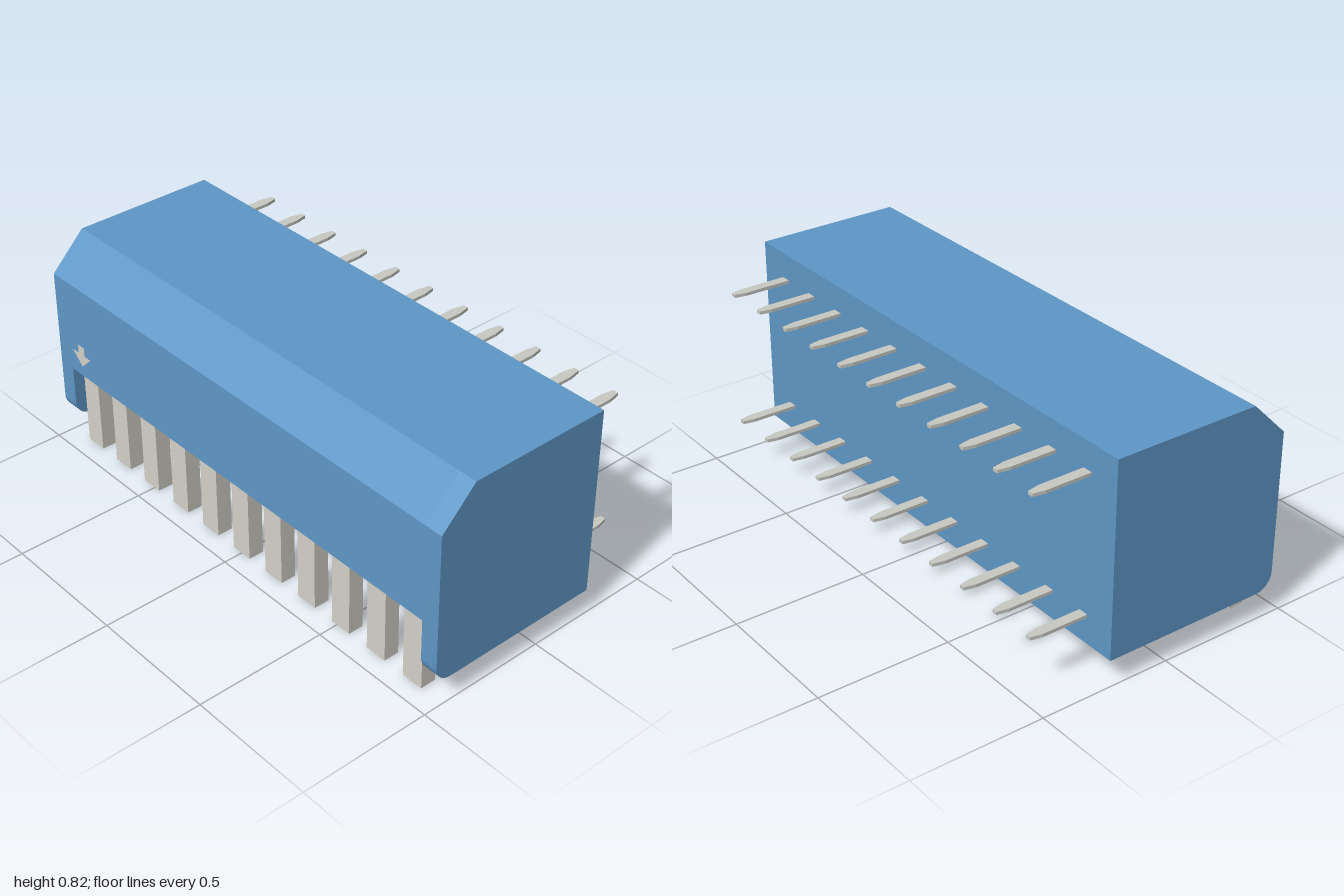
import * as THREE from 'three';
import { toCreasedNormals } from 'three/addons/utils/BufferGeometryUtils.js';

const COUNT = 11, PITCH = 0.1725;
const BACK = -0.235, FRONT = 0.455, BOTTOM = 0.1, TOP = 0.825;

const blue = new THREE.MeshStandardMaterial({ color: 0x5f97c6 });
const cream = new THREE.MeshStandardMaterial({ color: 0xd3d1c8 });
const metal = new THREE.MeshStandardMaterial({ color: 0xc8c8c2 });

// Side profile (z, y): chamfered top front edge, rounded bottom front edge or sloped pocket
function profile(withPocket) {
  const s = new THREE.Shape();
  s.moveTo(BACK, BOTTOM);
  if (withPocket) {
    s.lineTo(0.12, BOTTOM);
    s.lineTo(FRONT, 0.318);
  } else {
    s.lineTo(FRONT - 0.065, BOTTOM);
    s.absarc(FRONT - 0.065, BOTTOM + 0.065, 0.065, -Math.PI / 2, 0, false);
  }
  s.lineTo(FRONT, 0.69);
  s.lineTo(0.32, TOP);
  s.lineTo(BACK, TOP);
  s.closePath();
  return s;
}

// Extrude a (z, y) profile along x, centred on the given x
function alongX(shape, width, x) {
  const g = new THREE.ExtrudeGeometry(shape, { depth: width, bevelEnabled: false, curveSegments: 10 });
  g.translate(0, 0, -width / 2).rotateY(-Math.PI / 2).translate(x, 0, 0);
  return toCreasedNormals(g, 0.4);
}

function polygon(points) {
  return new THREE.Shape(points.map(([x, y]) => new THREE.Vector2(x, y)));
}

export function createModel() {
  const model = new THREE.Group();
  const add = (name, geometry, material, parent = model) => {
    const mesh = new THREE.Mesh(geometry, material);
    mesh.name = name;
    parent.add(mesh);
    return mesh;
  };

  // Housing: middle with the pocket, closed by two full end walls
  const housing = new THREE.Group();
  housing.name = 'housing';
  model.add(housing);
  add('housingMiddle', alongX(profile(true), 1.86, 0), blue, housing);
  for (const side of [1, -1]) {
    add(side > 0 ? 'leftEndWall' : 'rightEndWall', alongX(profile(false), 0.07, side * 0.965), blue, housing);
  }

  // Flat terminal with a tapered tip, pointing to the back
  const terminal = new THREE.ExtrudeGeometry(polygon([
    [-0.019, 0.225], [0.019, 0.225], [0.019, 0.41], [0.01, 0.455], [-0.01, 0.455], [-0.019, 0.41],
  ]), { depth: 0.012, bevelEnabled: false });
  terminal.translate(0, 0, -0.006).rotateX(-Math.PI / 2);
  const lever = new THREE.BoxGeometry(0.086, 0.33, 0.06);

  for (let i = 0; i < COUNT; i++) {
    const x = (i - (COUNT - 1) / 2) * PITCH;
    // Switch levers hanging from the pocket
    add('lever', lever, cream).position.set(x, 0.165, 0.395);
    // Two rows of terminals
    for (const y of [0.204, 0.72]) add('terminal', terminal, metal).position.set(x, y, 0);
  }

  // Arrow marker above the first lever
  const arrow = new THREE.ExtrudeGeometry(polygon([
    [0, 0.36], [0.053, 0.41], [0.018, 0.41], [0.018, 0.445],
    [-0.018, 0.445], [-0.018, 0.41], [-0.053, 0.41],
  ]), { depth: 0.002, bevelEnabled: false });
  add('arrowMarker', arrow, cream).position.set(-5 * PITCH, 0, FRONT - 0.001);

  return model;
}
